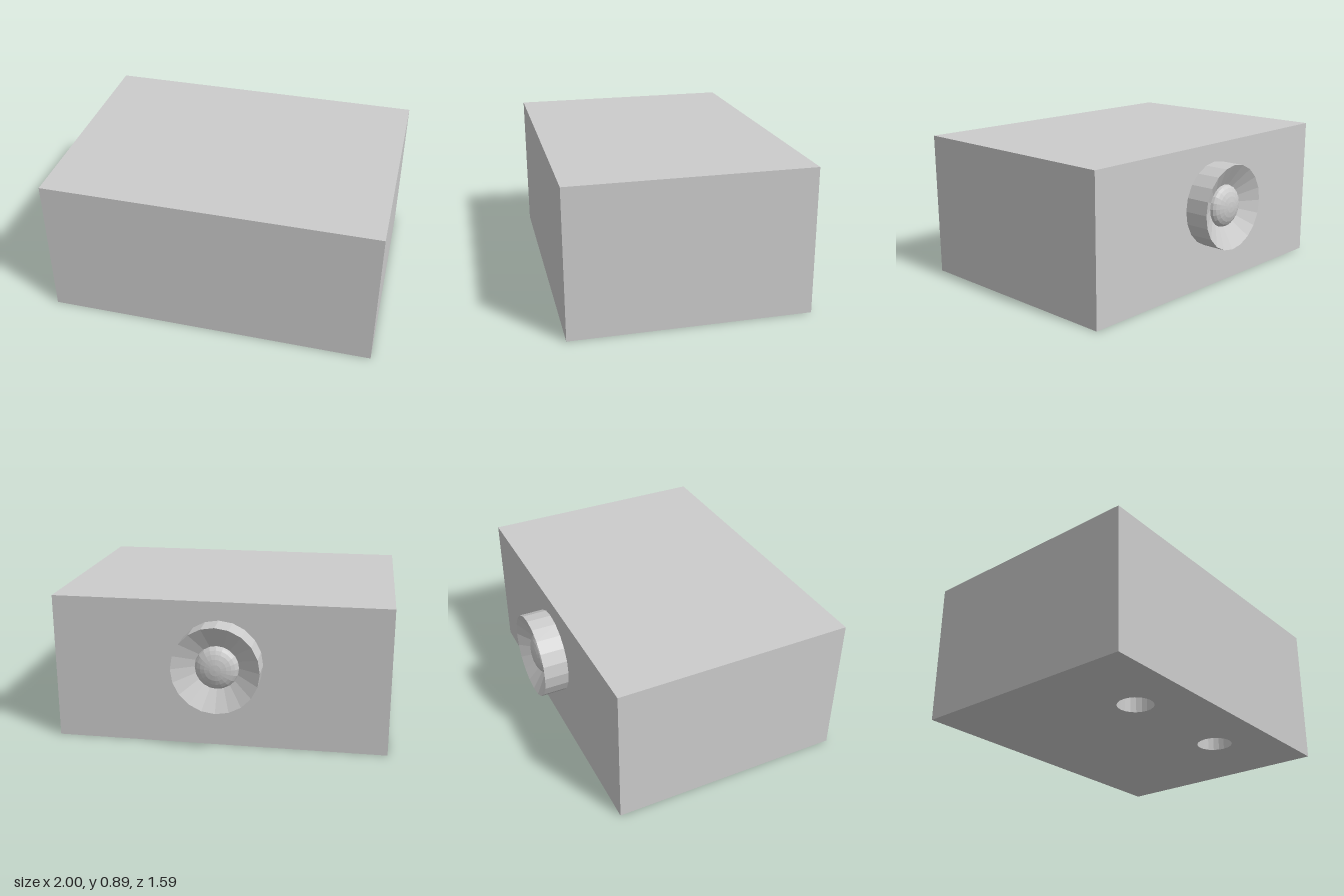
import * as THREE from 'three';

const SEGMENTS = 20;
const HEIGHT = 0.89, BACK = -0.645, FRONT = 0.795;
const HOLE = { x: 0.41, z: 0.44, radius: 0.11, depth: 0.3 };

const material = new THREE.MeshStandardMaterial({ color: 0xcccccc, flatShading: true });

function add(group, name, geometry) {
  const mesh = new THREE.Mesh(geometry, material);
  mesh.name = name;
  group.add(mesh);
  return mesh;
}

function lathe(points) {
  return new THREE.LatheGeometry(points.map(([r, y]) => new THREE.Vector2(r, y)), SEGMENTS);
}

export function createModel() {
  const model = new THREE.Group();
  model.name = 'boxWithRearSocket';

  // Housing: a box without its bottom face
  const box = new THREE.BoxGeometry(2, HEIGHT, FRONT - BACK);
  const index = Array.from(box.index.array);
  index.splice(18, 6);
  box.setIndex(index);
  box.clearGroups();
  box.translate(0, HEIGHT / 2, (FRONT + BACK) / 2);
  add(model, 'housing', box);

  // Base plate with two round openings
  const plate = new THREE.Shape();
  plate.moveTo(-1, BACK).lineTo(1, BACK).lineTo(1, FRONT).lineTo(-1, FRONT).closePath();
  for (const side of [-1, 1]) {
    const opening = new THREE.Path();
    opening.absarc(side * HOLE.x, HOLE.z, HOLE.radius, 0, Math.PI * 2, true);
    plate.holes.push(opening);
  }
  add(model, 'basePlate', new THREE.ShapeGeometry(plate, SEGMENTS / 2).rotateX(Math.PI / 2));

  // Blind wells above the openings
  for (const side of [-1, 1]) {
    const well = lathe([[0, HOLE.depth], [HOLE.radius, HOLE.depth], [HOLE.radius, 0]]);
    add(model, side > 0 ? 'leftWell' : 'rightWell', well).position.set(side * HOLE.x, 0, HOLE.z);
  }

  // Round socket on the back, with a conical recess
  const socket = new THREE.Group();
  socket.name = 'rearSocket';
  socket.position.set(0, 0.52, BACK);
  socket.rotation.x = -Math.PI / 2;
  model.add(socket);
  add(socket, 'socketRing', lathe([[0.26, 0], [0.26, 0.15], [0.13, 0.075]]));

  // Shallow dome at the bottom of the recess
  const dome = [];
  for (let i = 0; i <= 6; i++) {
    const a = (i / 6) * Math.PI / 2;
    dome.push([i === 6 ? 0 : 0.13 * Math.cos(a), 0.075 + 0.06 * Math.sin(a)]);
  }
  add(socket, 'dome', lathe(dome));

  return model;
}
